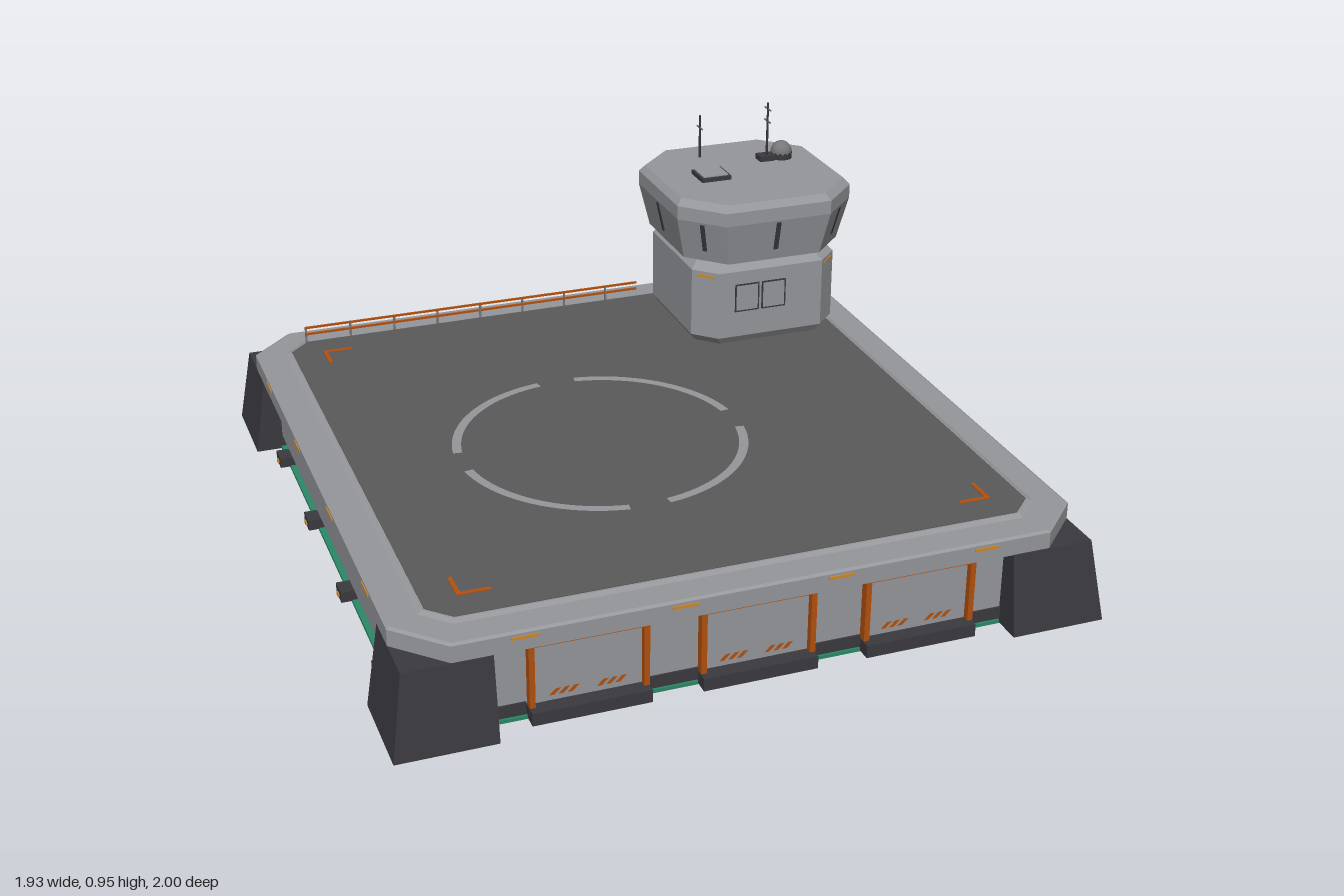
import * as THREE from 'three';

const mat = (name, color) => {
  const m = new THREE.MeshStandardMaterial({ color });
  m.name = name;
  return m;
};

export function createModel() {
  const grey = mat('concrete grey', 0x96979b), deckGrey = mat('deck grey', 0x5a5a5a);
  const dark = mat('charcoal', 0x3a393f), panel = mat('shutter grey', 0x4c4c4e);
  const orange = mat('safety orange', 0xb4500f), amber = mat('amber lamp', 0xd0892b);
  const green = mat('base green', 0x2a8a68), steel = mat('steel', 0x77787b);

  const root = new THREE.Group();
  root.name = 'landingPad';

  const add = (parent, name, geo, material, x = 0, y = 0, z = 0) => {
    const m = new THREE.Mesh(geo, material);
    m.name = name;
    m.position.set(x, y, z);
    parent.add(m);
    return m;
  };
  const box = (parent, name, material, w, h, d, x, y, z) =>
    add(parent, name, new THREE.BoxGeometry(w, h, d), material, x, y, z);
  const group = (parent, name, x = 0, y = 0, z = 0, ry = 0) => {
    const g = new THREE.Group();
    g.name = name;
    g.position.set(x, y, z);
    g.rotation.y = ry;
    parent.add(g);
    return g;
  };

  // Chamfered rectangle lofted through levels of [y, halfX, halfZ, chamfer]
  const loft = (levels) => {
    const rings = levels.map(([y, a, b, c]) => [
      [a, y, b - c], [a, y, c - b], [a - c, y, -b], [c - a, y, -b],
      [-a, y, c - b], [-a, y, b - c], [c - a, y, b], [a - c, y, b]]);
    const p = [];
    for (let k = 0; k + 1 < rings.length; k++)
      for (let i = 0; i < 8; i++) {
        const j = (i + 1) % 8, lo = rings[k], hi = rings[k + 1];
        p.push(...lo[i], ...lo[j], ...hi[j], ...lo[i], ...hi[j], ...hi[i]);
      }
    const bot = rings[0], top = rings[rings.length - 1];
    for (let i = 1; i < 7; i++)
      p.push(...top[0], ...top[i], ...top[i + 1], ...bot[0], ...bot[i + 1], ...bot[i]);
    const g = new THREE.BufferGeometry();
    g.setAttribute('position', new THREE.Float32BufferAttribute(p, 3));
    g.computeVertexNormals();
    return g;
  };

  // Rectangular outline facing +z
  const frame = (parent, name, material, w, h, t, d, x, y, z) => {
    const g = group(parent, name, x, y, z);
    for (const s of [-1, 1]) {
      box(g, name + 'Side', material, t, h, d, s * (w - t) / 2, 0, 0);
      box(g, name + 'Rail', material, w - 2 * t, t, d, 0, s * (h - t) / 2, 0);
    }
    return g;
  };

  // Base, walls and deck slab
  add(root, 'basePlate', loft([[0, 0.89, 0.92, 0.1], [0.01, 0.89, 0.92, 0.1]]), green);
  add(root, 'plinth', loft([[0.01, 0.87, 0.9, 0.1], [0.05, 0.87, 0.9, 0.1]]), dark);
  add(root, 'walls', loft([[0.045, 0.885, 0.915, 0.1], [0.235, 0.885, 0.915, 0.1]]), grey);
  add(root, 'slab', loft([[0.23, 0.93, 0.963, 0.125], [0.277, 0.93, 0.963, 0.125],
    [0.282, 0.922, 0.955, 0.122]]), grey);
  add(root, 'curb', loft([[0.28, 0.85, 0.88, 0.075], [0.288, 0.83, 0.86, 0.062]]), grey);
  add(root, 'deck', loft([[0.284, 0.825, 0.855, 0.06], [0.29, 0.825, 0.855, 0.06]]), deckGrey);

  // Corner legs, tapered on their outer faces only
  for (const sx of [-1, 1]) for (const sz of [-1, 1]) {
    const g = new THREE.BoxGeometry(0.265, 0.229, 0.27);
    const p = g.attributes.position;
    for (let i = 0; i < p.count; i++)
      if (p.getY(i) > 0) {
        if (p.getX(i) * sx > 0) p.setX(i, p.getX(i) - sx * 0.035);
        if (p.getZ(i) * sz > 0) p.setZ(i, p.getZ(i) - sz * 0.035);
      }
    g.computeVertexNormals();
    add(root, 'cornerLeg', g, dark, sx * 0.8325, 0.1165, sz * 0.865);
  }

  // Slab lamps on all sides; small feet on the sides and back
  for (let k = 0; k < 4; k++) {
    const side = group(root, 'edgeSide', 0, 0, 0, k * Math.PI / 2);
    const out = k % 2 ? 0.93 : 0.963;
    for (const u of [-0.62, -0.21, 0.21, 0.62]) {
      box(side, 'edgeLamp', amber, 0.07, 0.008, 0.006, u, 0.266, out);
      if (k === 0) continue;
      box(side, 'foot', dark, 0.06, 0.03, 0.07, u, 0.022, out - 0.045);
      box(side, 'footLamp', amber, 0.018, 0.01, 0.006, u, 0.018, out - 0.009);
    }
  }

  // Front bay doors with hazard stripes and ramps
  const stripe = new THREE.ShapeGeometry(new THREE.Shape([
    new THREE.Vector2(-0.016, -0.009), new THREE.Vector2(-0.002, -0.009),
    new THREE.Vector2(0.016, 0.009), new THREE.Vector2(0.002, 0.009)]));
  for (const x of [-0.45, 0, 0.45]) {
    const bay = group(root, 'bayDoor', x, 0, 0.915);
    for (const s of [-1, 1]) {
      box(bay, 'doorPost', orange, 0.015, 0.185, 0.03, s * 0.149, 0.134, 0.01);
      for (let i = -1; i <= 1; i++)
        add(bay, 'hazardStripe', stripe, orange, s * 0.062 + i * 0.024, 0.066, 0.008);
    }
    box(bay, 'doorHeader', orange, 0.313, 0.014, 0.03, 0, 0.22, 0.01);
    box(bay, 'doorLeaf', grey, 0.283, 0.172, 0.008, 0, 0.128, 0.002);
    box(bay, 'ramp', dark, 0.313, 0.036, 0.06, 0, 0.021, 0.015);
  }
  for (const x of [-0.655, -0.225, 0.225, 0.655])
    box(root, 'bayFooting', dark, x * x > 0.2 ? 0.09 : 0.137, 0.035, 0.03, x, 0.032, 0.905);

  // Back shutters and side hatches
  for (const x of [0.19, -0.59])
    box(root, 'backShutter', panel, 0.25, 0.175, 0.008, x, 0.138, -0.917);
  const rightWall = group(root, 'hatches', 0.887, 0, 0, Math.PI / 2);
  for (const z of [0.27, -0.56]) {
    frame(rightWall, 'hatchFrame', dark, 0.138, 0.1, 0.006, 0.008, -z, 0.155, 0);
    box(rightWall, 'hatch', grey, 0.126, 0.088, 0.006, -z, 0.155, 0);
  }

  // Deck markings: broken landing ring and corner brackets
  for (let k = 0; k < 4; k++) {
    const arc = new THREE.RingGeometry(0.39, 0.416, 20, 1, k * Math.PI / 2 + 0.137, Math.PI / 2 - 0.274);
    add(root, 'ringArc', arc.rotateX(-Math.PI / 2), grey, -0.13, 0.2925, 0.09);
  }
  for (const sx of [-1, 1]) for (const sz of [-1, 1]) {
    box(root, 'cornerMark', orange, 0.09, 0.003, 0.012, sx * 0.69, 0.291, sz * 0.76);
    box(root, 'cornerMark', orange, 0.012, 0.003, 0.078, sx * 0.729, 0.291, sz * 0.715);
  }

  // Back railing
  for (const y of [0.315, 0.336])
    box(root, 'handrail', orange, 1.09, 0.006, 0.006, -0.225, y, -0.857);
  for (let i = 0; i < 8; i++)
    box(root, 'railPost', steel, 0.006, 0.05, 0.006, -0.767 + i * 0.14, 0.31, -0.857);

  // Control tower
  const tower = group(root, 'controlTower', 0.592, 0, -0.627);
  add(tower, 'towerBody', loft([[0.283, 0.215, 0.215, 0.06], [0.315, 0.236, 0.236, 0.065],
    [0.53, 0.236, 0.236, 0.065], [0.562, 0.205, 0.205, 0.06], [0.58, 0.205, 0.205, 0.06]]), grey);
  add(tower, 'towerHead', loft([[0.566, 0.255, 0.255, 0.105], [0.70, 0.285, 0.285, 0.115],
    [0.742, 0.285, 0.285, 0.115], [0.762, 0.268, 0.268, 0.11]]), grey);
  for (let k = 0; k < 8; k++) {
    const face = group(tower, 'towerFace', 0, 0, 0, k * Math.PI / 4);
    const diagonal = k % 2;
    const slit = box(face, 'windowSlit', dark, 0.014, 0.095, 0.008, 0, 0.648, diagonal ? 0.306 : 0.273);
    slit.rotation.x = diagonal ? 0.27 : 0.22;
    if (diagonal) box(face, 'towerLamp', amber, 0.05, 0.008, 0.006, 0, 0.517, 0.288);
  }
  for (const x of [-0.079, 0.009]) {
    frame(tower, 'windowFrame', dark, 0.079, 0.09, 0.004, 0.008, x, 0.443, 0.236);
    box(tower, 'window', grey, 0.071, 0.082, 0.006, x, 0.443, 0.236);
  }
  const towerSide = group(tower, 'towerSide', 0.236, 0, 0, Math.PI / 2);
  frame(towerSide, 'towerHatchFrame', dark, 0.11, 0.1, 0.006, 0.008, -0.053, 0.436, 0);
  box(towerSide, 'towerHatch', grey, 0.098, 0.088, 0.006, -0.053, 0.436, 0);

  // Roof hatch, radar dome and antennas
  box(tower, 'roofHatchBase', dark, 0.096, 0.014, 0.092, -0.112, 0.768, 0.012);
  box(tower, 'roofHatch', grey, 0.082, 0.006, 0.078, -0.112, 0.775, 0.012);
  box(tower, 'equipmentBox', dark, 0.05, 0.018, 0.042, 0.108, 0.77, -0.08);
  add(tower, 'domeBase', new THREE.CylinderGeometry(0.034, 0.034, 0.022, 12), dark, 0.163, 0.772, -0.083);
  add(tower, 'radarDome', new THREE.SphereGeometry(0.034, 14, 10), steel, 0.163, 0.783, -0.083);
  const antenna = (x, z, top, bars) => {
    add(tower, 'antennaMast', new THREE.CylinderGeometry(0.003, 0.004, top - 0.76, 6), dark, x, (top + 0.76) / 2, z);
    for (const y of bars) box(tower, 'antennaBar', steel, 0.004, 0.004, 0.046, x, y, z);
  };
  antenna(0.11, -0.075, 0.95, [0.89, 0.93]);
  antenna(-0.08, -0.17, 0.9, [0.86]);

  return root;
}
